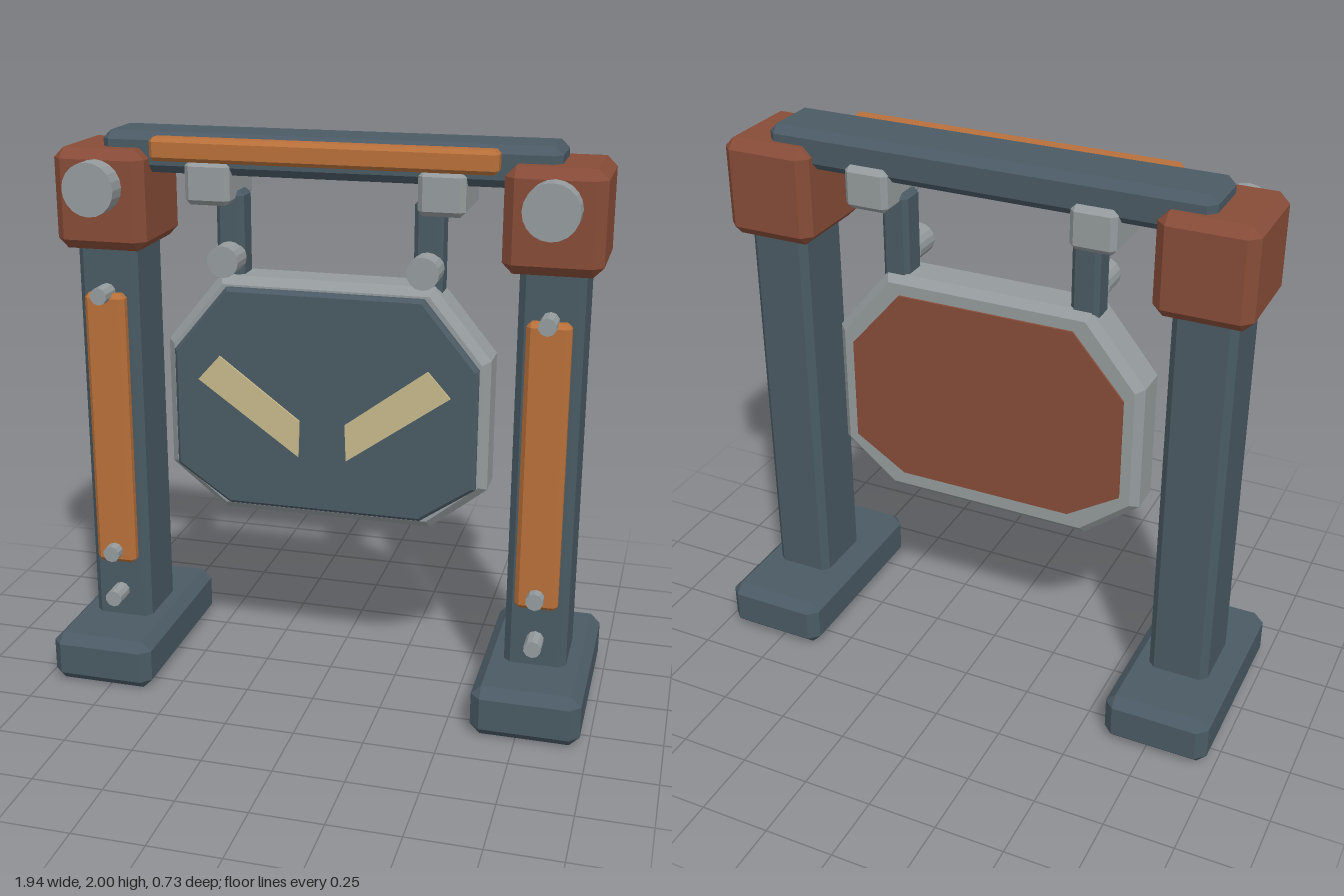
import * as THREE from 'three';
import { ConvexGeometry } from 'three/addons/geometries/ConvexGeometry.js';

const material = (name, color) => {
  const m = new THREE.MeshStandardMaterial({ color });
  m.name = name;
  return m;
};

export function createModel() {
  const slate = material('slate', 0x4a5a64);
  const rust = material('rust', 0x874c38);
  const orange = material('orange', 0xb8703a);
  const steel = material('steel', 0x959b9d);
  const tan = material('tan', 0xc8b98c);

  const model = new THREE.Group();
  model.name = 'hangingPlateFrame';

  const add = (name, geometry, mat) => {
    const mesh = new THREE.Mesh(geometry, mat);
    mesh.name = name;
    model.add(mesh);
    return mesh;
  };

  // Box with chamfered edges and corners, given by its limits on each axis
  const block = (name, [x0, x1], [y0, y1], [z0, z1], c, mat) => {
    const half = [(x1 - x0) / 2, (y1 - y0) / 2, (z1 - z0) / 2];
    const points = [];
    for (const sx of [-1, 1]) for (const sy of [-1, 1]) for (const sz of [-1, 1]) {
      for (let outer = 0; outer < 3; outer++) {
        const p = half.map((h, i) => (i === outer ? h : h - c));
        points.push(new THREE.Vector3(p[0] * sx, p[1] * sy, p[2] * sz));
      }
    }
    const mesh = add(name, new ConvexGeometry(points), mat);
    mesh.position.set((x0 + x1) / 2, (y0 + y1) / 2, (z0 + z1) / 2);
  };

  // Faceted cylinder lying along z
  const bolt = (name, x, y, z0, z1, r, sides) => {
    const g = new THREE.CylinderGeometry(r, r, z1 - z0, sides).rotateX(Math.PI / 2).toNonIndexed();
    g.computeVertexNormals();
    add(name, g, steel).position.set(x, y, (z0 + z1) / 2);
  };

  // Flat outline extruded from z0 to z1, with bevelled rims
  const plate = (name, points, z0, z1, bevel, mat) => {
    const shape = new THREE.Shape(points.map(([x, y]) => new THREE.Vector2(x, y)));
    const g = new THREE.ExtrudeGeometry(shape, {
      depth: z1 - z0 - 2 * bevel, bevelEnabled: bevel > 0, bevelSegments: 1,
      bevelSize: bevel, bevelThickness: bevel, bevelOffset: -bevel,
    });
    add(name, g.translate(0, 0, z0 + bevel), mat);
  };

  // Octagon from half widths and the four heights, bottom to top
  const octagon = (inner, outer, bottom, low, high, top) => [
    [-inner, bottom], [inner, bottom], [outer, low], [outer, high],
    [inner, top], [-inner, top], [-outer, high], [-outer, low],
  ];

  // Both uprights with their feet, caps, panels, bolts and hangers
  for (const [side, s] of [['left', 1], ['right', -1]]) {
    const around = (x, w) => [s * x - w / 2, s * x + w / 2];
    block(side + 'Foot', around(0.78, 0.38), [0, 0.185], [-0.365, 0.365], 0.035, slate);
    block(side + 'Post', around(0.78, 0.22), [0.12, 1.65], [-0.13, 0.13], 0.024, slate);
    block(side + 'Cap', around(0.78, 0.33), [1.595, 1.945], [-0.185, 0.185], 0.035, rust);
    block(side + 'PostPanel', around(0.78, 0.15), [0.415, 1.44], [0.12, 0.175], 0.016, orange);
    bolt(side + 'CapBolt', s * 0.78, 1.82, 0.17, 0.26, 0.093, 20);
    for (const y of [0.285, 0.465, 1.44]) bolt(side + 'PostBolt', s * 0.78, y, 0.12, 0.215, 0.031, 10);

    block(side + 'Bracket', around(0.405, 0.16), [1.76, 1.91], [-0.155, 0.125], 0.018, steel);
    block(side + 'Hanger', around(0.35, 0.1), [1.44, 1.8], [-0.06, 0.045], 0.016, slate);
    bolt(side + 'HangerPin', s * 0.35, 1.57, 0.03, 0.13, 0.056, 16);
  }

  // Cross beam with its front rail
  block('crossBeam', [-0.79, 0.79], [1.86, 2], [-0.13, 0.105], 0.028, slate);
  block('beamRail', [-0.595, 0.595], [1.91, 1.99], [0.09, 0.163], 0.014, orange);

  // Hanging plate: steel rim, dark front and rust back
  plate('plateRim', octagon(0.38, 0.58, 0.64, 0.8, 1.265, 1.51), -0.085, 0.085, 0.028, steel);
  plate('plateFront', octagon(0.35, 0.545, 0.675, 0.81, 1.24, 1.475), 0.06, 0.112, 0.012, slate);
  plate('plateBack', octagon(0.325, 0.515, 0.72, 0.84, 1.22, 1.44), -0.093, -0.084, 0, rust);

  // Slanted marks on the plate
  const mark = [[0.087, 0.88], [0.453, 1.14], [0.373, 1.23], [0.082, 1.013]];
  plate('leftMark', mark, 0.112, 0.12, 0, tan);
  plate('rightMark', mark.map(([x, y]) => [-x, y]).reverse(), 0.112, 0.12, 0, tan);

  return model;
}
